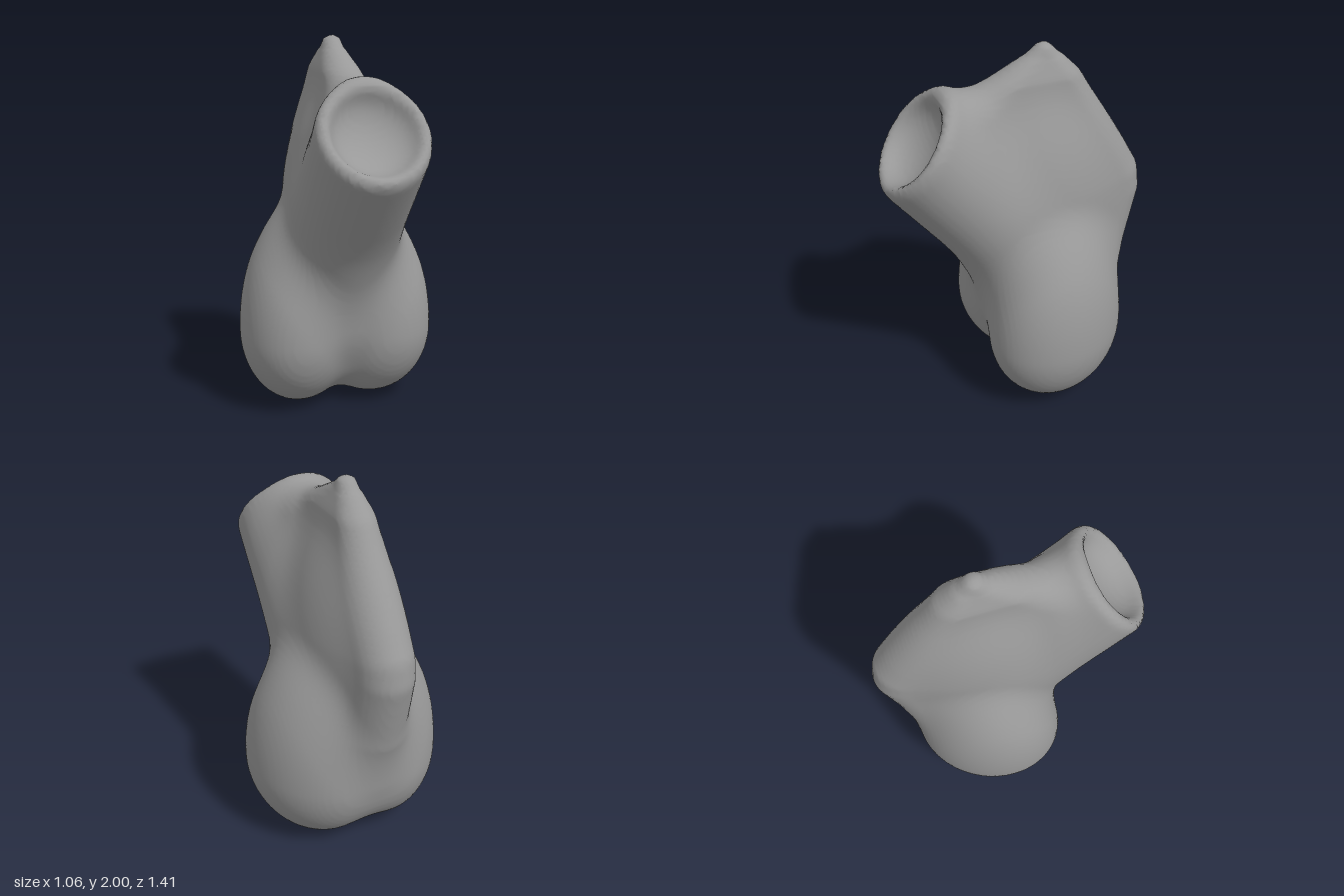
import * as THREE from 'three';

const V = (x, y, z) => new THREE.Vector3(x, y, z);

// Smooth blend of two signed distances
function blend(a, b, k) {
  const h = Math.max(k - Math.abs(a - b), 0) / k;
  return Math.min(a, b) - h * h * k * 0.25;
}

function ellipsoid(x, y, z, rx, ry, rz) {
  const k0 = Math.hypot(x / rx, y / ry, z / rz);
  const k1 = Math.hypot(x / rx / rx, y / ry / ry, z / rz / rz);
  return k1 < 1e-6 ? -Math.min(rx, ry, rz) : k0 * (k0 - 1) / k1;
}

// Egg-shaped lobes, mirrored across x and spreading toward the front
function lobe(p, side) {
  const dy = p.y - 0.42, dz = p.z + 0.16;
  const dx = p.x * side - 0.19 - 0.15 * dz;
  return ellipsoid(dx, dy, dz, 0.335, dy > 0 ? 0.66 : 0.42, 0.39);
}

// Fullness of the neck between the spout and the back ridge
const core = (p) => ellipsoid(p.x, p.y - 1.08, p.z + 0.1, 0.25, 0.52, 0.36);

// Slanted spout: a capsule cut off by the rim plane
const SPOUT_A = V(0, 0.8, -0.1), SPOUT_AXIS = V(0, 0.785, 0.62).normalize();
const RIM = V(0, 1.598, 0.553), RIM_NORMAL = V(0, 0.62, 0.785).normalize();
function spout(p) {
  const q = p.clone().sub(SPOUT_A);
  const t = Math.max(0, q.dot(SPOUT_AXIS));
  const tube = q.addScaledVector(SPOUT_AXIS, -t).length() - 0.288;
  const cut = p.clone().sub(RIM).dot(RIM_NORMAL);
  return -blend(-tube, -cut, 0.07);
}

// Shallow dish in the spout's mouth
function dish(p) {
  const q = p.clone().sub(RIM);
  const along = q.dot(RIM_NORMAL);
  const across = q.addScaledVector(RIM_NORMAL, -along).length();
  return ellipsoid(across, along, 0, 0.22, 0.13, 0.22);
}

// Rounded back ridge: a thickened outline in the z-y plane, thinner at its peak
const RIDGE = [[0.15, 1.7], [-0.03, 1.85], [-0.15, 1.945], [-0.2, 1.89], [-0.32, 1.66],
  [-0.5, 1.33], [-0.56, 1.21], [-0.573, 1.11], [-0.545, 0.99], [-0.49, 0.76],
  [-0.38, 0.54], [0, 0.5], [0.1, 1.3]];
function ridge(p) {
  let inside = false, d = Infinity;
  RIDGE.forEach(([az, ay], i) => {
    const [bz, by] = RIDGE[(i + 1) % RIDGE.length];
    const ez = bz - az, ey = by - ay, wz = p.z - az, wy = p.y - ay;
    const t = THREE.MathUtils.clamp((wz * ez + wy * ey) / (ez * ez + ey * ey), 0, 1);
    d = Math.min(d, Math.hypot(wz - ez * t, wy - ey * t));
    if ((ay > p.y) !== (by > p.y) && p.z < az + ez * wy / ey) inside = !inside;
  });
  const taper = Math.min(0.06 + (1.93 - p.y) * 0.4, 0.1 + (1.83 - p.y) * 0.065);
  return Math.hypot(inside ? 0 : d, p.x) - THREE.MathUtils.clamp(taper, 0.055, 0.14);
}

function field(p) {
  const lobes = blend(lobe(p, 1), lobe(p, -1), 0.12);
  const neck = blend(blend(spout(p), core(p), 0.12), ridge(p), 0.24);
  return -blend(-blend(lobes, neck, 0.14), dish(p), 0.05);
}

// Skin the field with one vertex per crossed grid cell
function skin(min, size, h) {
  const n = size.map((s) => Math.round(s / h) + 1);
  const step = [1, n[0], n[0] * n[1]];
  const values = new Float32Array(n[0] * n[1] * n[2]);
  const each = (from, trim, fn) => {
    for (let k = from; k < n[2] - trim; k++)
      for (let j = from; j < n[1] - trim; j++)
        for (let i = from; i < n[0] - trim; i++) fn(i, j, k, i + j * step[1] + k * step[2]);
  };
  each(0, 0, (i, j, k, id) => {
    values[id] = field(V(min[0] + i * h, min[1] + j * h, min[2] + k * h));
  });

  // Vertices: the mean of each cell's edge crossings
  const positions = [], indices = [], cellVertex = new Map();
  each(0, 1, (i, j, k, id) => {
    const sum = V(0, 0, 0);
    let count = 0;
    for (let c = 0; c < 8; c++) {
      for (let a = 0; a < 3; a++) {
        if (c & (1 << a)) continue;
        const o = [c & 1, (c >> 1) & 1, c >> 2];
        const start = id + o[0] + o[1] * step[1] + o[2] * step[2];
        const v0 = values[start], v1 = values[start + step[a]];
        if ((v0 < 0) === (v1 < 0)) continue;
        o[a] += v0 / (v0 - v1);
        sum.add(V(...o));
        count++;
      }
    }
    if (!count) return;
    const p = sum.divideScalar(count).add(V(i, j, k)).multiplyScalar(h).add(V(...min));
    cellVertex.set(id, positions.length / 3);
    positions.push(p.x, p.y, p.z);
  });

  // Faces: one quad around each crossed grid edge
  each(1, 1, (i, j, k, id) => {
    for (let a = 0; a < 3; a++) {
      const inside = values[id] < 0;
      if (inside === values[id + step[a]] < 0) continue;
      const b = step[(a + 1) % 3], c = step[(a + 2) % 3];
      const q = [id - b - c, id - c, id, id - b].map((v) => cellVertex.get(v));
      if (!inside) q.reverse();
      indices.push(q[0], q[1], q[2], q[0], q[2], q[3]);
    }
  });

  const geometry = new THREE.BufferGeometry();
  geometry.setAttribute('position', new THREE.Float32BufferAttribute(positions, 3));
  geometry.setIndex(indices);
  geometry.computeVertexNormals();
  return geometry;
}

export function createModel() {
  const group = new THREE.Group();
  group.name = 'spoutedVessel';
  const material = new THREE.MeshStandardMaterial({ color: 0x999999 });
  // One continuous skin over lobes, neck, spout, dish and back ridge
  const body = new THREE.Mesh(skin([-0.64, -0.12, -0.84], [1.28, 2.24, 1.68], 0.02), material);
  body.name = 'blendedBody';
  group.add(body);
  return group;
}
